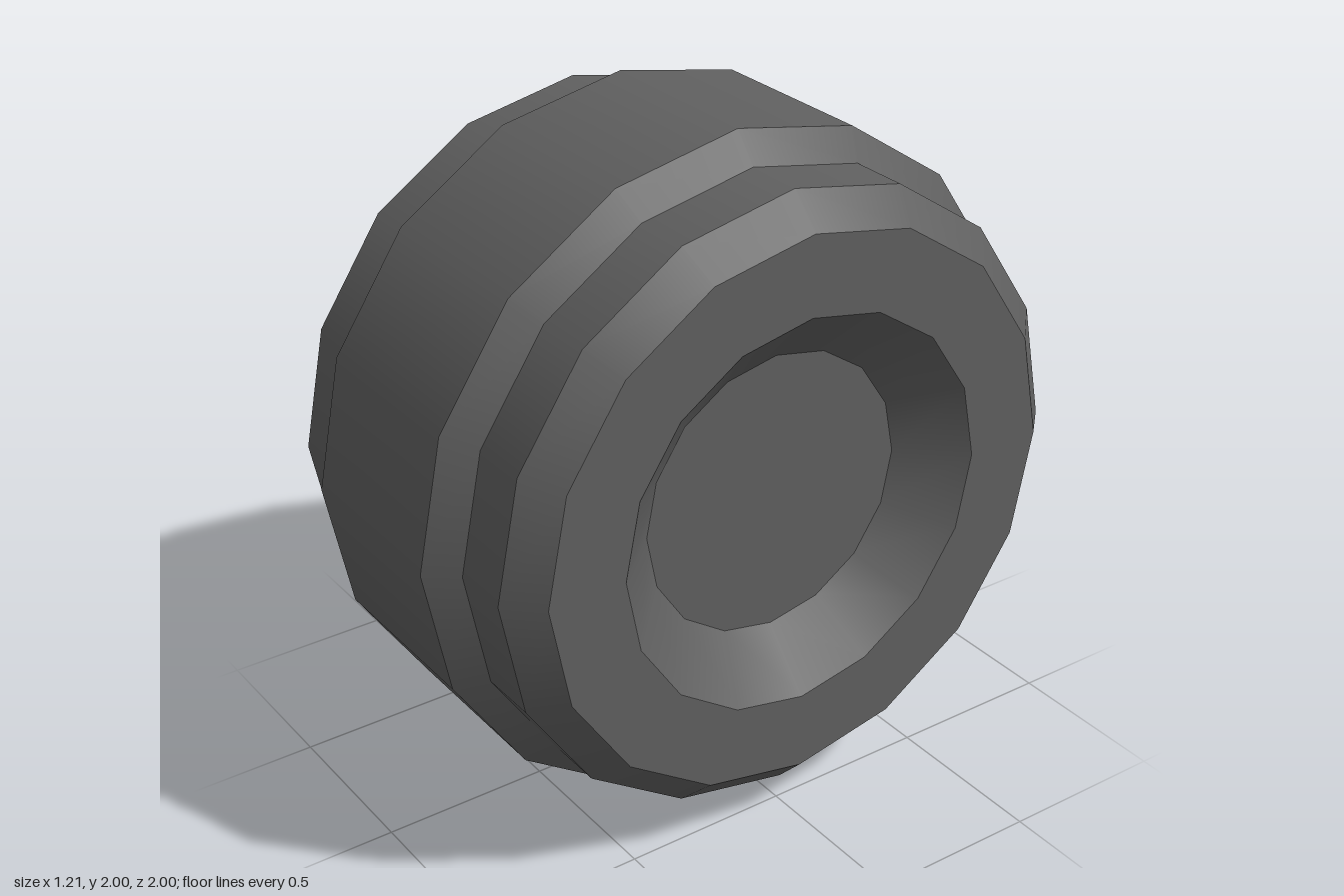
import * as THREE from 'three';

const SIDES = 16;

export function createModel() {
  const group = new THREE.Group();
  group.name = 'wheel';
  const rubber = new THREE.MeshStandardMaterial({ color: 0x606060 });
  rubber.name = 'dark grey rubber';

  // Half profile from hub centre to tread edge: [distance along axle, radius]
  const half = [[0.455, 0], [0.455, 0.42], [0.605, 0.587], [0.605, 0.822], [0.515, 0.915], [0.34, 0.915], [0.272, 1]];
  const profile = [
    ...half.map(([x, r]) => new THREE.Vector2(r, -x)),
    ...half.slice().reverse().map(([x, r]) => new THREE.Vector2(r, x)),
  ];
  const names = ['hubDisc', 'hubRecess', 'sidewall', 'outerBevel', 'shoulder', 'treadBevel', 'tread'];

  // One band per profile segment: smooth around the axle, crisp between bands
  for (let i = 0; i < profile.length - 1; i++) {
    const band = new THREE.LatheGeometry([profile[i], profile[i + 1]], SIDES);
    band.rotateZ(-Math.PI / 2);
    band.translate(0, 1, 0);
    const mesh = new THREE.Mesh(band, rubber);
    const side = i < 6 ? 'Right' : i > 6 ? 'Left' : '';
    mesh.name = names[Math.min(i, 12 - i)] + side;
    group.add(mesh);
  }
  return group;
}
